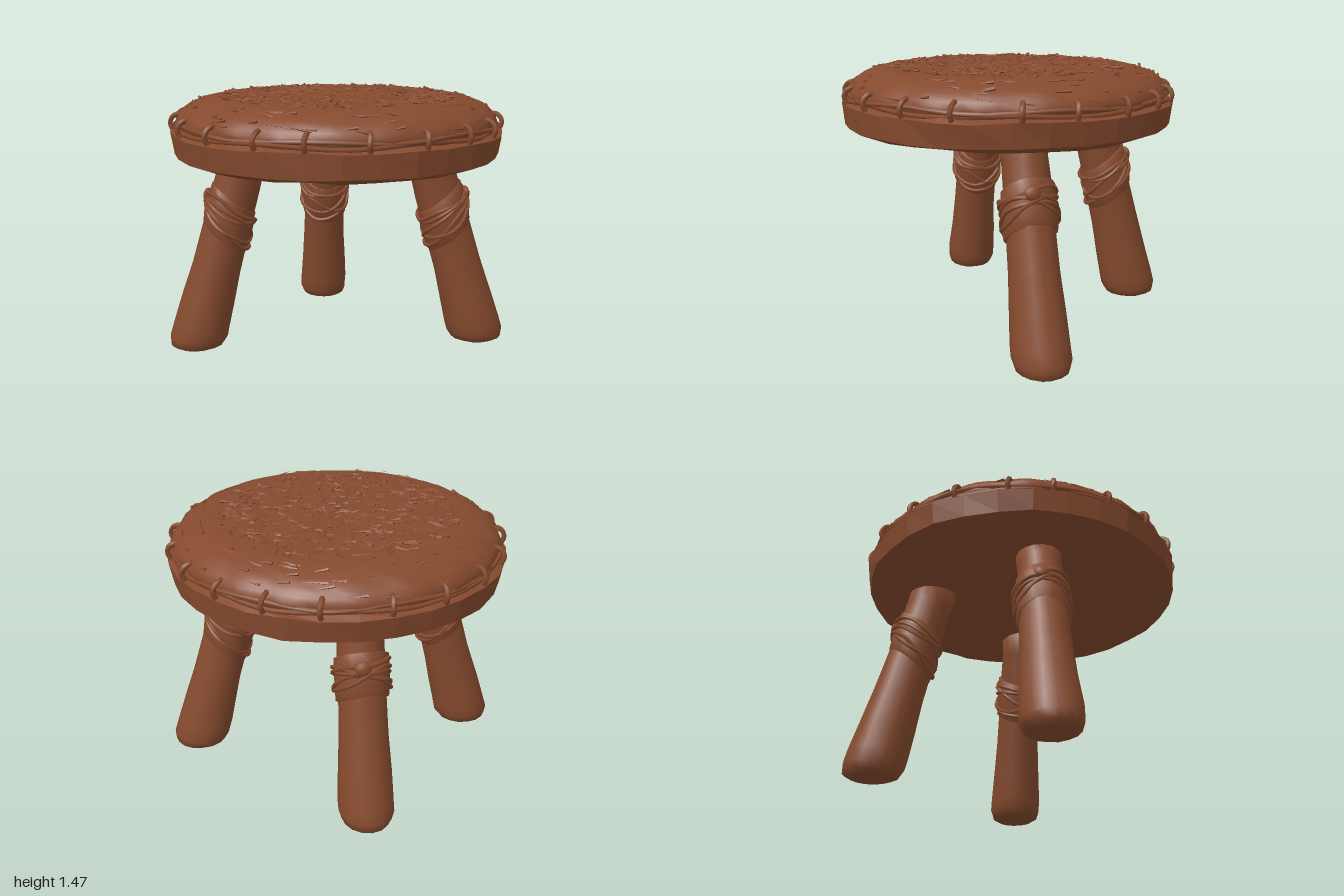
import * as THREE from 'three';
import { mergeGeometries, mergeVertices } from 'three/addons/utils/BufferGeometryUtils.js';

const V = (x, y, z) => new THREE.Vector3(x, y, z);

// Repeatable noise in -1..1, from a position
function noise(x, y, z) {
  const s = Math.sin(x * 127.1 + y * 269.5 + z * 311.7) * 43758.5453;
  return (s - Math.floor(s)) * 2 - 1;
}

function seeded(seed) {
  return () => {
    seed = (seed * 16807) % 2147483647;
    return seed / 2147483647;
  };
}

// Lathe whose vertices are moved by a rule, welded at the seam
function shapedLathe(profile, sides, move) {
  let geo = new THREE.LatheGeometry(profile.map(([r, y]) => new THREE.Vector2(r, y)), sides);
  geo.deleteAttribute('uv');
  geo.deleteAttribute('normal');
  geo = mergeVertices(geo, 1e-4);
  const pos = geo.attributes.position;
  const p = V(0, 0, 0);
  for (let i = 0; i < pos.count; i++) {
    p.fromBufferAttribute(pos, i);
    move(p);
    pos.setXYZ(i, p.x, p.y, p.z);
  }
  geo.computeVertexNormals();
  return geo;
}

// Closed cord: radius, height and wobble are rules of the angle
function cordLoop(radius, height, thick, steps = 16) {
  const pts = [];
  for (let i = 0; i < steps; i++) {
    const a = (i / steps) * Math.PI * 2;
    const r = radius(a);
    pts.push(V(r * Math.cos(a), height(a), r * Math.sin(a)));
  }
  return new THREE.TubeGeometry(new THREE.CatmullRomCurve3(pts, true), steps * 4, thick, 6, true);
}

export function createModel() {
  const brown = new THREE.MeshStandardMaterial({ color: 0x854a2e });
  brown.name = 'brown leather and wood';
  const facetedBrown = brown.clone();
  facetedBrown.flatShading = true;
  facetedBrown.name = 'brown carved wood';

  const model = new THREE.Group();
  model.name = 'stool';
  const add = (parent, name, geo, mat = brown) => {
    const mesh = new THREE.Mesh(geo, mat);
    mesh.name = name;
    parent.add(mesh);
    return mesh;
  };

  const seat = new THREE.Group();
  seat.name = 'seat';
  seat.position.set(-0.012, 0, 0.025);
  model.add(seat);

  // Roughly hewn round board with a chamfered underside
  add(seat, 'seatBoard', shapedLathe(
    [[0, 1.14], [0.84, 1.142], [0.9, 1.17], [0.917, 1.29], [0.88, 1.305], [0, 1.305]], 32,
    (p) => {
      const r = Math.hypot(p.x, p.z);
      if (r < 0.1) return;
      const k = 1 + 0.006 * noise(p.x, p.y, p.z);
      p.set(p.x * k, p.y + 0.006 * noise(p.z, p.x, 1), p.z * k);
    }), facetedBrown);

  // Domed hide cushion, rough in the middle and wrinkled at the rim
  const outline = new THREE.CatmullRomCurve3([
    V(0.86, 1.29, 0), V(0.885, 1.34, 0), V(0.865, 1.385, 0), V(0.81, 1.43, 0),
    V(0.72, 1.462, 0), V(0.6, 1.472, 0), V(0.3, 1.474, 0), V(0, 1.474, 0)]);
  const cushionProfile = outline.getSpacedPoints(40).map((p) => [Math.max(p.x, 0), p.y]);
  add(seat, 'hideCushion', shapedLathe(cushionProfile, 96, (p) => {
    const r = Math.hypot(p.x, p.z);
    const rough = r < 0.66 ? 0.007 : 0.002;
    p.y += rough * noise(p.x, 0, p.z);
    if (r > 0.78) {
      const a = Math.atan2(p.z, p.x);
      const k = 1 + 0.006 * Math.sin(a * 20 + 1) + 0.004 * noise(p.x, p.y, p.z);
      p.x *= k;
      p.z *= k;
    }
  }));

  // Matted flecks of hide scattered over the top, and longer creases round the rim
  const rand = seeded(77);
  const flecks = [];
  for (let i = 0; i < 420; i++) {
    const a = rand() * Math.PI * 2;
    const r = Math.sqrt(rand()) * 0.64;
    const g = new THREE.ConeGeometry(0.012, 0.05 + rand() * 0.05, 4);
    g.rotateZ(Math.PI / 2);
    g.scale(1, 0.7, 1);
    g.rotateZ((rand() - 0.5) * 0.25);
    g.rotateY(rand() * Math.PI * 2);
    g.translate(r * Math.cos(a), 1.474, r * Math.sin(a));
    flecks.push(g);
  }
  for (let i = 0; i < 90; i++) {
    const t = 0.09 + rand() * 0.2;
    const p = outline.getPointAt(t);
    const g = new THREE.ConeGeometry(0.008, 0.07 + rand() * 0.06, 4);
    g.rotateX(Math.PI / 2);
    g.rotateX((rand() - 0.5) * 0.5);
    g.translate(p.x, p.y, 0);
    g.rotateY(rand() * Math.PI * 2);
    flecks.push(g);
  }
  add(seat, 'hideFlecks', mergeGeometries(flecks), facetedBrown);

  // Lacing: two cords round the rim and twenty stitches over them
  const lacing = [0, 1].map((n) => cordLoop(
    (a) => 0.882 + 0.006 * Math.sin(a * 10 + n * 3),
    (a) => 1.315 + n * 0.02 + 0.008 * Math.sin(a * 7 + n * 2), 0.012, 40));
  add(seat, 'rimCords', mergeGeometries(lacing));
  const stitchPath = new THREE.CatmullRomCurve3([
    V(0.9, 1.295, 0), V(0.913, 1.33, 0.004), V(0.9, 1.365, 0), V(0.872, 1.38, -0.004), V(0.84, 1.375, 0)]);
  const stitches = [];
  for (let i = 0; i < 20; i++) {
    const g = new THREE.TubeGeometry(stitchPath, 10, 0.014, 6, false);
    g.rotateY(((i + 0.5) / 20) * Math.PI * 2 + 0.04 * noise(i, 2, 3));
    stitches.push(g);
  }
  add(seat, 'stitches', mergeGeometries(stitches));

  // Splayed legs: local y runs up the leg, local x points outward
  const legProfile = [[0, 0], [0.1, 0.002], [0.14, 0.022], [0.156, 0.07], [0.155, 0.14], [0.146, 0.3],
    [0.134, 0.5], [0.129, 0.75], [0.127, 0.95], [0.123, 1.08], [0.13, 1.22], [0, 1.22]];
  const legs = [
    ['leftLeg', V(0.835, 0.015, 0.035), V(0.505, 1.14, 0.06)],
    ['rightLeg', V(-0.84, 0.015, 0.11), V(-0.525, 1.14, 0.085)],
    ['backLeg', V(-0.08, 0.015, -0.785), V(-0.065, 1.14, -0.505)],
  ];
  legs.forEach(([name, foot, top], n) => {
    const leg = new THREE.Group();
    leg.name = name;
    const up = top.clone().sub(foot).normalize();
    const out = foot.clone().sub(top).setY(0).normalize();
    const slope = -out.dot(up) / up.y;
    out.addScaledVector(up, -out.dot(up)).normalize();
    leg.setRotationFromMatrix(new THREE.Matrix4().makeBasis(out, up, out.clone().cross(up)));
    leg.position.copy(foot);
    model.add(leg);

    // Whittled pole, its foot cut level with the floor
    add(leg, name + 'Pole', shapedLathe(legProfile, 16, (p) => {
      const k = 1 + 0.018 * noise(p.x + n, p.y, p.z);
      const level = Math.max(0, 1 - p.y / 0.3) * slope;
      p.set(p.x * k * 1.04, p.y - p.x * level, p.z * k * 0.98);
    }));

    // Leather sleeve, higher on the outside, dipping on the inside
    add(leg, name + 'Sleeve', shapedLathe(
      [[0.12, 0.68], [0.139, 0.69], [0.146, 0.76], [0.144, 0.85], [0.14, 0.92], [0.12, 0.93]], 18,
      (p) => {
        const k = 1 + 0.03 * noise(p.x, p.y + n, p.z);
        p.set(p.x * k, p.y + 0.42 * p.x, p.z * k);
      }));

    // Cord bindings crossing round the sleeve
    const bindings = [[0.79, 0.07, 0.05], [0.8, 0.06, -0.06], [0.85, 0.03, 0.02], [0.87, 0.05, -0.02], [0.76, 0.1, 0.01]];
    add(leg, name + 'Bindings', mergeGeometries(bindings.map(([y, tilt, roll], i) => cordLoop(
      (a) => 0.147 + 0.004 * Math.sin(a * 3 + i),
      (a) => y + tilt * Math.cos(a) + roll * Math.sin(a) + 0.008 * Math.sin(a * 3 + i + n), 0.011))));

    // Knot on the outer side
    const knot = new THREE.IcosahedronGeometry(0.03, 1);
    knot.scale(0.7, 1.3, 1.4);
    knot.translate(0.15, 0.9, 0.02);
    add(leg, name + 'Knot', knot);
  });

  return model;
}
